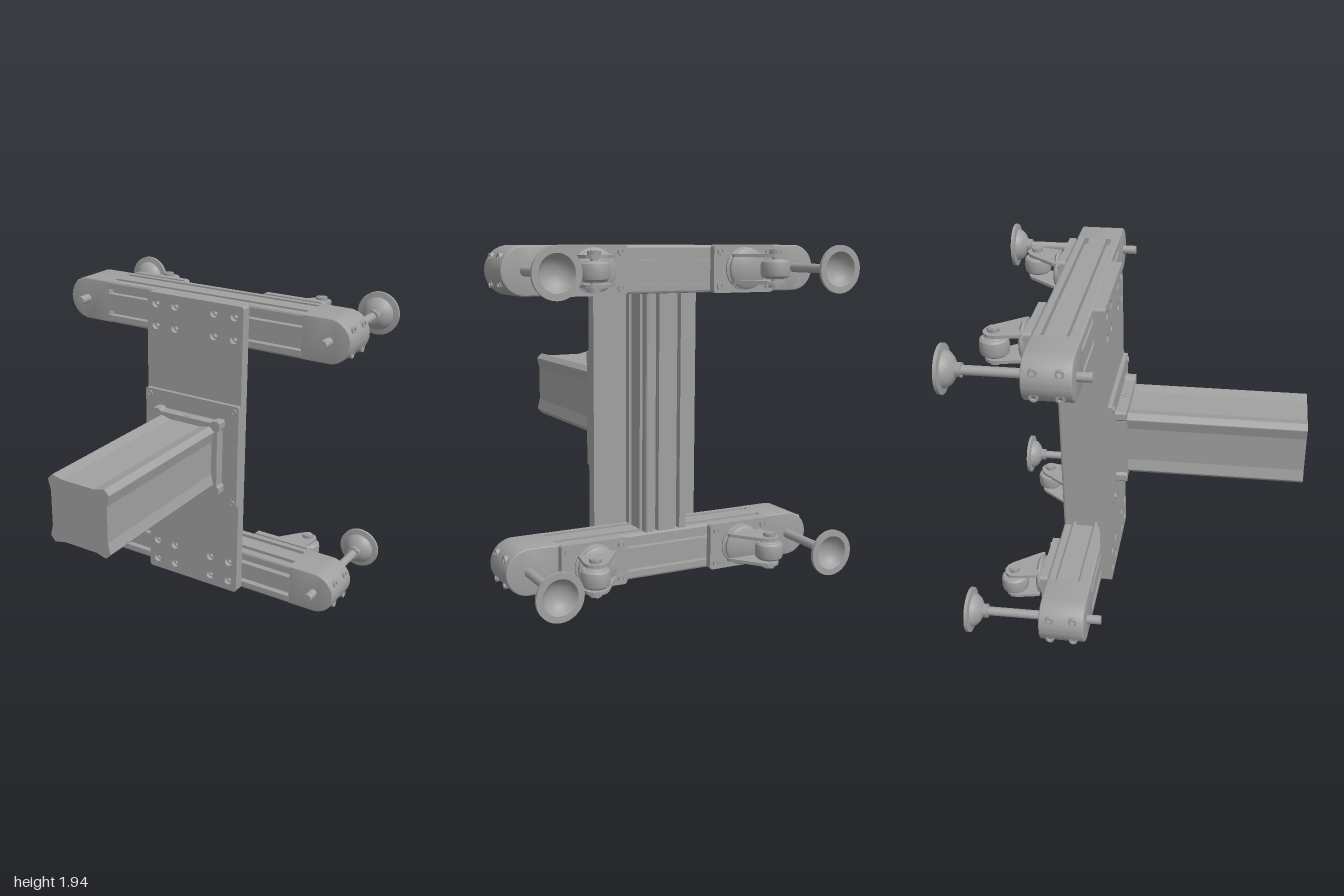
import * as THREE from 'three';
import { toCreasedNormals } from 'three/addons/utils/BufferGeometryUtils.js';

const grey = new THREE.MeshStandardMaterial({ color: 0xa0a0a0 });
grey.name = 'machined grey';

const MID_Y = 0.97, BEAM_Y = [0.142, 1.8], BEAM_Z = -0.395, H = 0.136, SLOT = 0.07;

function add(parent, name, geometry, x = 0, y = 0, z = 0) {
  const mesh = new THREE.Mesh(geometry, grey);
  mesh.name = name;
  mesh.position.set(x, y, z);
  parent.add(mesh);
  return mesh;
}

const shapeOf = (pts) => new THREE.Shape(pts.map(([x, y]) => new THREE.Vector2(x, y)));
const extrude = (shape, depth) =>
  new THREE.ExtrudeGeometry(shape, { depth, bevelEnabled: false, curveSegments: 16 });
const lathe = (pts, sides = 32) =>
  toCreasedNormals(new THREE.LatheGeometry(pts.map(([x, y]) => new THREE.Vector2(x, y)), sides), 0.6);
const rod = (r, length, sides = 24) => new THREE.CylinderGeometry(r, r, length, sides);

// Repeats one side's points around the four sides of a square
function fourSides(side) {
  const pts = [];
  for (let k = 0; k < 4; k++) {
    const c = Math.round(Math.cos(k * Math.PI / 2)), s = Math.round(Math.sin(k * Math.PI / 2));
    side.forEach(([u, v]) => pts.push([u * c - v * s, u * s + v * c]));
  }
  return shapeOf(pts);
}

// Slotted square section: two grooves on each side
function slottedSection() {
  const r = 0.014, w = 0.016, d = 0.04, side = [[H - r, H]];
  for (const c of [SLOT, -SLOT]) side.push([c + w, H], [c + w, H - d], [c - w, H - d], [c - w, H]);
  side.push([-H + r, H], [-H + r * 0.3, H - r * 0.3]);
  return fourSides(side);
}

// Square with cut corners and shallow hollowed sides
const hollowedSquare = (h, cut, a, b, dent) =>
  fourSides([[h - cut, h], [a, h], [b, h - dent], [-b, h - dent], [-a, h], [-h + cut, h]]);

function roundedRect(w, h, r) {
  const s = new THREE.Shape(), x = w / 2, y = h / 2;
  s.moveTo(-x + r, -y);
  s.lineTo(x - r, -y).absarc(x - r, -y + r, r, -Math.PI / 2, 0);
  s.lineTo(x, y - r).absarc(x - r, y - r, r, 0, Math.PI / 2);
  s.lineTo(-x + r, y).absarc(-x + r, y - r, r, Math.PI / 2, Math.PI);
  s.lineTo(-x, -y + r).absarc(-x + r, -y + r, r, Math.PI, Math.PI * 1.5);
  return s;
}

// Socket bolt with its head pointing along +y
const bolt = (r, height) =>
  lathe([[r, 0], [r, height], [r * 0.55, height], [r * 0.55, height * 0.3], [0, height * 0.3]], 20);

// Horizontal beam: slotted middle with solid rounded ends
function makeBeam(y) {
  const beam = new THREE.Group();
  beam.name = 'beam';
  beam.position.set(0, y, BEAM_Z);
  add(beam, 'slottedBeam', extrude(slottedSection(), 1.4).translate(0, 0, -0.7).rotateY(Math.PI / 2));
  const bevel = 0.012, r = H - bevel;
  for (const m of [1, -1]) {
    const s = new THREE.Shape();
    s.moveTo(m * 0.7, -r);
    s.lineTo(m * 0.864, -r);
    s.absarc(m * 0.864, 0, r, -Math.PI / 2, Math.PI / 2, m < 0);
    s.lineTo(m * 0.7, r);
    const end = new THREE.ExtrudeGeometry(s, {
      depth: 2 * H - 2 * bevel, bevelThickness: bevel, bevelSize: bevel, bevelSegments: 3, curveSegments: 24,
    }).translate(0, 0, -H + bevel);
    add(beam, 'beamEnd', toCreasedNormals(end, 0.5));
    for (const dy of [-SLOT, SLOT]) for (const dz of [-SLOT, SLOT])
      add(beam, 'endBolt', bolt(0.025, 0.045).rotateZ(-m * Math.PI / 2), m * 0.944, dy, dz);
  }
  return beam;
}

// Levelling foot on a threaded rod
function makeFoot(x, y) {
  const foot = new THREE.Group();
  foot.name = 'levellingFoot';
  foot.position.set(x, y, 0);
  add(foot, 'footRod', rod(0.027, 0.72).rotateX(Math.PI / 2), 0, 0, -0.535);
  add(foot, 'footNut', rod(0.045, 0.03, 6).rotateX(Math.PI / 2), 0, 0, -0.88);
  add(foot, 'footPad', lathe([[0, 0.89], [0.03, 0.89], [0.05, 0.9], [0.075, 0.914], [0.094, 0.934], [0.102, 0.956],
    [0.136, 0.962], [0.136, 0.98], [0.1, 0.98], [0.088, 0.955], [0.068, 0.932], [0.04, 0.918], [0, 0.913]], 40)
    .rotateX(-Math.PI / 2));
  return foot;
}

// Swivel caster, its wheel trailing outward
function makeCaster(m, y) {
  const caster = new THREE.Group();
  caster.name = 'caster';
  caster.position.set(m * 0.483, y, 0);
  add(caster, 'casterPlate', extrude(roundedRect(0.41, 0.278, 0.02), 0.043), 0, 0, -0.573);
  for (const dx of [-0.165, 0.165]) for (const dy of [-0.1, 0.1])
    add(caster, 'casterBolt', bolt(0.02, 0.012).rotateX(-Math.PI / 2), dx, dy, -0.572);
  add(caster, 'swivel', lathe([[0.125, 0.57], [0.125, 0.582], [0.1, 0.59], [0.1, 0.597], [0.118, 0.602],
    [0.118, 0.618], [0.1, 0.63], [0, 0.63]]).rotateX(-Math.PI / 2));
  const wx = m * 0.085, wz = -0.765;
  const arm = shapeOf([[-0.11, 0.61], [-0.105, 0.63], [0.015, 0.79], [0.045, 0.815], [0.085, 0.825],
    [0.12, 0.812], [0.142, 0.785], [0.146, 0.75], [0.12, 0.61]].map(([x, z]) => [x * m, z]));
  for (const dy of [-0.085, 0.067])
    add(caster, 'forkArm', extrude(arm, 0.018).rotateX(-Math.PI / 2), 0, dy, 0);
  add(caster, 'wheel', lathe([[0, -0.055], [0.05, -0.055], [0.055, -0.05], [0.068, -0.05], [0.079, -0.04],
    [0.083, -0.022], [0.083, 0.022], [0.079, 0.04], [0.068, 0.05], [0.055, 0.05], [0.05, 0.055], [0, 0.055]]),
    wx, 0, wz);
  add(caster, 'axle', rod(0.02, 0.22), wx, 0, wz);
  for (const s of [-1, 1]) add(caster, 'axleNut', rod(0.036, 0.022, 6), wx, s * 0.096, wz);
  return caster;
}

export function createModel() {
  const model = new THREE.Group();
  model.name = 'wheeledStand';

  for (const y of BEAM_Y) {
    model.add(makeBeam(y));
    for (const m of [-1, 1]) model.add(makeFoot(m * 0.864, y), makeCaster(m, y));
  }

  // Upright column between the beams
  const span = BEAM_Y[1] - BEAM_Y[0] - 2 * H;
  add(model, 'column', extrude(slottedSection(), span).rotateX(-Math.PI / 2), 0, BEAM_Y[0] + H, BEAM_Z);

  // Tall front plate with counterbored bolts
  const plate = roundedRect(0.685, 1.935, 0.02);
  for (const by of BEAM_Y) for (const dy of [-SLOT, SLOT]) for (const x of [-0.28, -0.14, 0.14, 0.28]) {
    const y = by + dy, hole = new THREE.Path();
    hole.absarc(x, y - MID_Y, 0.027, 0, Math.PI * 2, true);
    plate.holes.push(hole);
    add(model, 'plateBolt', bolt(0.025, 0.04).rotateX(Math.PI / 2), x, y, -0.255);
  }
  add(model, 'frontPlate', extrude(plate, 0.069), 0, MID_Y, -0.259);

  // Mounting plate, collar and projecting post
  const py = 0.973;
  add(model, 'mountingPlate', extrude(roundedRect(0.685, 0.69, 0.012), 0.027), 0, py, -0.19);
  for (const x of [-0.31, 0.31]) for (const dy of [-0.31, 0.31])
    add(model, 'mountingBolt', bolt(0.02, 0.01).rotateX(Math.PI / 2), x, py + dy, -0.164);
  add(model, 'collar', extrude(hollowedSquare(0.248, 0.01, 0.2, 0.185, 0.015), 0.068), 0, py, -0.164);
  for (const s of [-1, 1])
    add(model, 'collarScrew', bolt(0.026, 0.012).rotateX(s > 0 ? 0 : Math.PI), 0, py + s * 0.224, -0.13);
  add(model, 'post', extrude(hollowedSquare(0.21, 0.03, 0.175, 0.11, 0.016), 1.075), 0, py, -0.098);

  return model;
}
